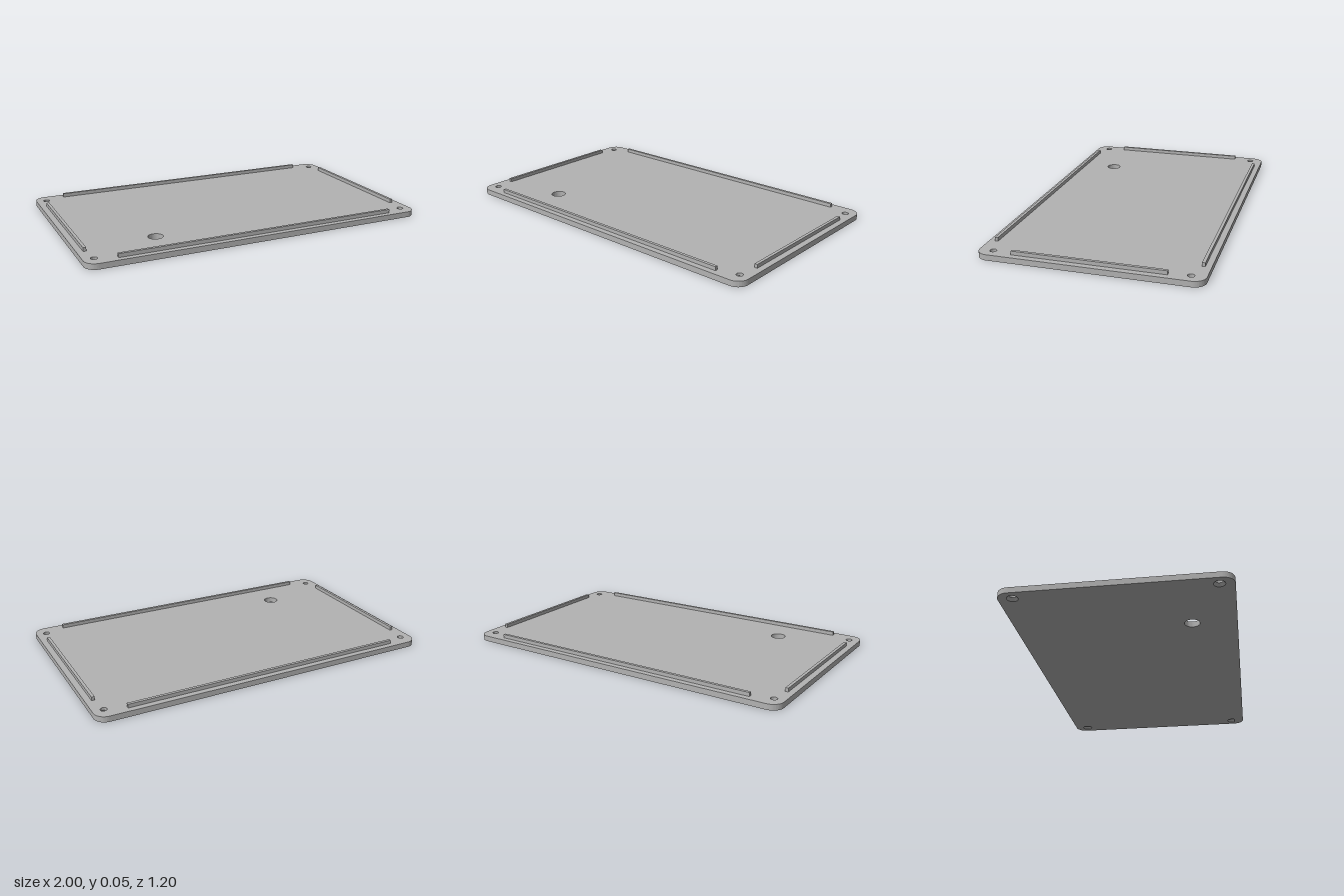
import * as THREE from 'three';
import { toCreasedNormals } from 'three/addons/utils/BufferGeometryUtils.js';

const W = 1, D = 0.598, T = 0.032, R = 0.065; // half width, half depth, thickness, corner radius
const SCREW = { x: 0.94, y: 0.52, r: 0.018, sink: 0.03 };

// Rounded panel with four countersunk screw holes and one cable hole
function panelGeometry() {
  const shape = new THREE.Shape();
  shape.absarc(W - R, D - R, R, 0, Math.PI / 2);
  shape.absarc(-W + R, D - R, R, Math.PI / 2, Math.PI);
  shape.absarc(-W + R, -D + R, R, Math.PI, Math.PI * 1.5);
  shape.absarc(W - R, -D + R, R, Math.PI * 1.5, Math.PI * 2);
  shape.closePath();

  const addHole = (x, y, r) =>
    shape.holes.push(new THREE.Path().absarc(x, y, r, 0, Math.PI * 2, true));
  for (const sx of [-1, 1])
    for (const sy of [-1, 1]) addHole(sx * SCREW.x, sy * SCREW.y, SCREW.r);
  addHole(-0.553, -0.357, 0.042);

  const geo = new THREE.ExtrudeGeometry(shape, {
    depth: T, steps: 2, bevelEnabled: false, curveSegments: 16,
  });

  // Widen the lower rim of each screw hole into a countersink
  const p = geo.attributes.position;
  for (let i = 0; i < p.count; i++) {
    if (p.getZ(i) > 0.001) continue;
    const cx = Math.sign(p.getX(i)) * SCREW.x, cy = Math.sign(p.getY(i)) * SCREW.y;
    const dx = p.getX(i) - cx, dy = p.getY(i) - cy;
    if (Math.hypot(dx, dy) > SCREW.r + 0.002) continue;
    const k = SCREW.sink / SCREW.r;
    p.setXY(i, cx + dx * k, cy + dy * k);
  }
  geo.rotateX(-Math.PI / 2);
  return toCreasedNormals(geo, Math.PI / 6);
}

export function createModel() {
  const model = new THREE.Group();
  model.name = 'coverPanel';
  const grey = new THREE.MeshStandardMaterial({ color: 0xb2b2b2 });
  grey.name = 'grey';

  const add = (name, geo, x, y, z) => {
    const mesh = new THREE.Mesh(geo, grey);
    mesh.name = name;
    mesh.position.set(x, y, z);
    model.add(mesh);
  };

  add('panel', panelGeometry(), 0, 0, 0);

  // Locating ribs along the four edges
  const ribH = 0.021, ribW = 0.017, y = T + ribH / 2;
  const longRib = new THREE.BoxGeometry(1.654, ribH, ribW);
  const shortRib = new THREE.BoxGeometry(ribW, ribH, 0.82);
  add('frontRib', longRib, 0, y, 0.557);
  add('backRib', longRib, 0, y, -0.557);
  add('leftRib', shortRib, 0.957, y, 0);
  add('rightRib', shortRib, -0.957, y, 0);
  return model;
}
